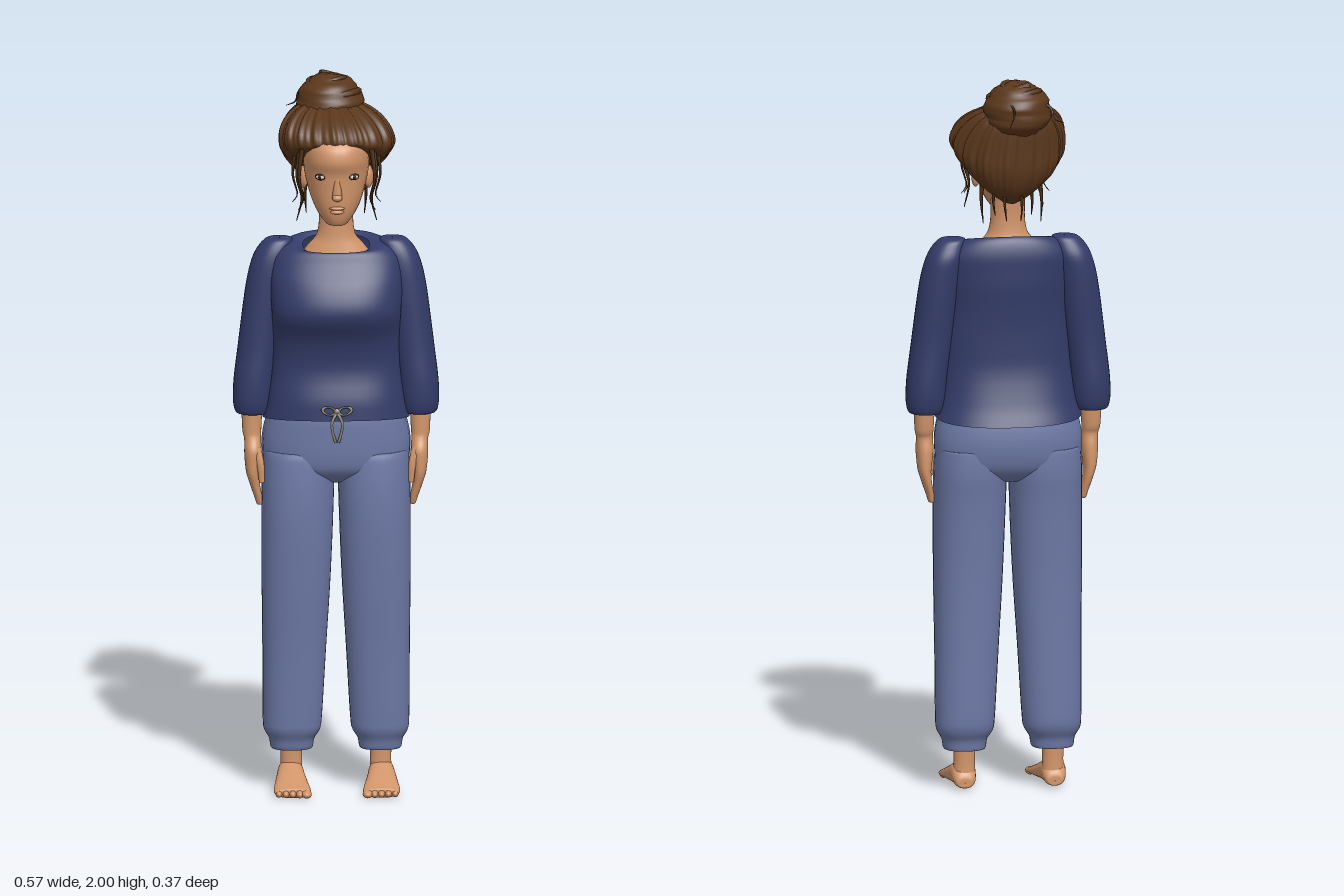
import * as THREE from 'three';

const mat = (name, color, side = THREE.FrontSide) => {
  const m = new THREE.MeshStandardMaterial({ color, side });
  m.name = name;
  return m;
};

// Closed-around surface: fn(angle, t) returns [x, y, z]; t runs upward, angle PI/2 is the front.
function wrap(nu, nv, fn) {
  const pos = [], idx = [];
  for (let j = 0; j <= nv; j++)
    for (let i = 0; i < nu; i++) pos.push(...fn((i / nu) * Math.PI * 2, j / nv));
  for (let j = 0; j < nv; j++)
    for (let i = 0; i < nu; i++) {
      const a = j * nu + i, b = j * nu + ((i + 1) % nu);
      idx.push(a, a + nu, b, b, a + nu, b + nu);
    }
  const g = new THREE.BufferGeometry();
  g.setAttribute('position', new THREE.Float32BufferAttribute(pos, 3));
  g.setIndex(idx);
  g.computeVertexNormals();
  return g;
}

// Smooth interpolation through rows of numbers without overshoot.
function blend(rows, t) {
  const n = rows.length - 1, f = Math.min(t * n, n - 1e-6), k = Math.floor(f), s = f - k;
  const slope = (i, c) => {
    if (i <= 0 || i >= n) return rows[Math.min(i + 1, n)][c] - rows[Math.max(i - 1, 0)][c];
    const a = rows[i][c] - rows[i - 1][c], b = rows[i + 1][c] - rows[i][c];
    return a * b <= 0 ? 0 : Math.sign(a) * Math.min(2 * Math.abs(a), 2 * Math.abs(b), Math.abs(a + b) / 2);
  };
  return rows[k].map((p, c) => {
    const q = rows[k + 1][c], m0 = slope(k, c), m1 = slope(k + 1, c), s2 = s * s, s3 = s2 * s;
    return p * (2 * s3 - 3 * s2 + 1) + m0 * (s3 - 2 * s2 + s) + q * (3 * s2 - 2 * s3) + m1 * (s3 - s2);
  });
}

// Body section rows, low to high: [y, centreX, halfWidth, zFront, zBack, tilt]
function loft(rows, { side = 1, power = 2.2, open = false, nu = 32 } = {}) {
  const full = rows.map((r) => [...r, 0].slice(0, 6));
  const pinch = ([y, cx, , f, b, t]) => [y, cx, 0.001, (f + b) / 2 + 0.001, (f + b) / 2 - 0.001, t];
  const list = open ? full : [pinch(full[0]), ...full, pinch(full[full.length - 1])];
  const e = (v) => Math.sign(v) * Math.abs(v) ** (2 / power);
  return wrap(nu, (list.length - 1) * 4, (a, t) => {
    const [y, cx, rx, f, b, tilt] = blend(list, t);
    const z = (f + b) / 2 + ((f - b) / 2) * e(Math.sin(a));
    return [cx * side + rx * e(Math.cos(a)), y + tilt * z, z];
  });
}

// Tapered strand along a smooth path.
function strand(points, radius, tip = 0.15) {
  const path = new THREE.CatmullRomCurve3(points.map((p) => new THREE.Vector3(...p)));
  const n = 14, g = new THREE.TubeGeometry(path, n, radius, 6), p = g.attributes.position;
  const v = new THREE.Vector3();
  for (let i = 0; i < p.count; i++) {
    const t = Math.floor(i / 7) / n;
    v.fromBufferAttribute(p, i).lerp(path.getPointAt(t), t * (1 - tip));
    p.setXYZ(i, v.x, v.y, v.z);
  }
  return g;
}

export function createModel() {
  const model = new THREE.Group();
  model.name = 'standingWoman';
  const skin = mat('skin', 0xd2956a), hair = mat('brown hair', 0x5a371b, THREE.DoubleSide);
  const loose = mat('dark strands', 0x43280f), shirt = mat('navy shirt', 0x333c69, THREE.DoubleSide);
  const cloth = mat('blue trousers', 0x6d79a6), cord = mat('grey cord', 0x97917f);
  const white = mat('eye white', 0xd8cfc4), dark = mat('dark eye', 0x2e1c12);
  const add = (name, geo, material, pos = [0, 0, 0], scale = [1, 1, 1]) => {
    const m = new THREE.Mesh(geo, material);
    m.name = name;
    m.position.set(...pos);
    m.scale.set(...scale);
    model.add(m);
    return m;
  };
  const ball = new THREE.SphereGeometry(1, 16, 10);

  // Head, neck and face
  add('head', loft([
    [1.608, 0, 0.022, 0.137, 0.07], [1.63, 0, 0.046, 0.152, 0.02], [1.67, 0, 0.068, 0.16, -0.03],
    [1.72, 0, 0.083, 0.163, -0.07], [1.755, 0, 0.09, 0.166, -0.09], [1.79, 0, 0.092, 0.177, -0.1],
    [1.82, 0, 0.092, 0.172, -0.1], [1.85, 0, 0.085, 0.145, -0.09], [1.89, 0, 0.05, 0.08, -0.06],
  ]), skin);
  add('neck', loft([
    [1.45, 0, 0.1, 0.08, -0.05], [1.5, 0, 0.096, 0.08, -0.045], [1.53, 0, 0.078, 0.075, -0.035],
    [1.56, 0, 0.054, 0.07, -0.025], [1.61, 0, 0.047, 0.068, -0.022], [1.68, 0, 0.047, 0.07, -0.03],
  ]), skin);
  add('nose', strand([[0, 1.695, 0.164], [0, 1.72, 0.161], [0, 1.755, 0.156]], 0.014, 0.5), skin);
  add('noseTip', ball, skin, [0, 1.694, 0.17], [0.014, 0.01, 0.012]);
  add('upperLip', ball, skin, [0, 1.662, 0.158], [0.022, 0.005, 0.008]);
  add('lowerLip', ball, skin, [0, 1.651, 0.155], [0.019, 0.006, 0.008]);
  for (const s of [1, -1]) {
    add('ear', ball, skin, [0.09 * s, 1.72, 0.015], [0.012, 0.032, 0.02]).rotation.y = -0.3 * s;
    const eye = [[dark, 'lashes', 0.153, 0.016, 0.009], [white, 'eyeWhite', 0.1545, 0.013, 0.006],
      [dark, 'iris', 0.156, 0.006, 0.006]];
    for (const [m, name, z, w, h] of eye)
      add(name, ball, m, [0.047 * s, 1.75, z], [w, h, 0.004]).rotation.y = 0.5 * s;
  }

  // Gathered hair: locks sweep from a puffed rim up to the bun
  add('sweptHair', wrap(220, 28, (a, t) => {
    const phi = -1.2 + t * 2.75, c = Math.cos(phi), s = Math.sin(phi);
    const front = Math.sin(a), up = Math.max(s, 0);
    const locks = 0.022 * Math.sin(17 * a + 1.3 * Math.sin(3 * a) + t)
      + 0.014 * Math.sin(43 * a + 2 * Math.sin(5 * a)) + 0.018 * Math.sin(5 * a + 1);
    const r = c ** 0.85 * (1 + locks * (1.2 - 0.7 * t));
    const mid = front > 0 ? 1.82 + 0.02 * front : 1.82 + 0.05 * front;
    const drop = front > 0 ? 0.08 - 0.055 * front ** 2 : 0.08 - 0.05 * front;
    const y = mid + (s > 0 ? (1.93 - mid) * s : drop * s) + 0.12 * locks * c;
    return [0.157 * r * Math.cos(a) - 0.015 * up, y, 0.015 - 0.07 * up * up + 0.14 * r * front];
  }), hair);

  // Bun with coiled locks
  add('bun', wrap(48, 32, (a, t) => {
    const p = (t - 0.5) * Math.PI;
    const r = 1 + 0.025 * Math.sin(9 * p + a) + 0.015 * Math.sin(21 * p - 2 * a);
    return [0.093 * r * Math.cos(p) * Math.cos(a), 0.083 * r * Math.sin(p), 0.097 * r * Math.cos(p) * Math.sin(a)];
  }), hair, [-0.015, 1.912, -0.057]);
  for (const [r, y, turn] of [[0.078, 1.945, 0], [0.06, 1.967, 2], [0.04, 1.982, 4], [0.088, 1.9, 1]]) {
    const pts = [];
    for (let i = 0; i <= 10; i++) {
      const a = turn + i * 0.5;
      pts.push([-0.015 + r * Math.cos(a), y + 0.006 * Math.sin(a * 2), -0.057 + r * Math.sin(a)]);
    }
    add('bunCoil', strand(pts, 0.011, 0.4), hair);
  }

  // Loose wisps around face, nape and bun
  for (const s of [1, -1]) {
    for (const [x, z, low, r] of [[0.096, 0.125, 1.65, 0.007], [0.1, 0.1, 1.615, 0.008], [0.112, 0.07, 1.66, 0.006]])
      add('sideWisp', strand([[x * s, 1.82, z - 0.01], [(x + 0.008) * s, 1.74, z + 0.008],
        [(x - 0.004) * s, 1.68, z], [(x + 0.01) * s, low, z - 0.005]], r), loose);
    for (const [x, z, low] of [[0.02, -0.075, 1.61], [0.05, -0.065, 1.625], [0.08, -0.04, 1.6]])
      add('napeWisp', strand([[x * s, 1.71, z], [(x + 0.004) * s, 1.66, z - 0.01], [x * s, low, z - 0.02]], 0.007), loose);
  }
  add('bunWisp', strand([[0.03, 1.95, -0.12], [0.01, 1.94, -0.145], [0.01, 1.92, -0.17], [0.025, 1.89, -0.187]], 0.005), loose);
  add('bunWisp', strand([[-0.08, 1.94, -0.1], [-0.1, 1.93, -0.11], [-0.11, 1.9, -0.125], [-0.135, 1.89, -0.123]], 0.005), loose);

  // Loose shirt with scooped neck and flared hem
  add('shirtBody', loft([
    [1.045, 0, 0.203, 0.152, -0.117, 0.1], [1.1, 0, 0.19, 0.148, -0.092, 0.05], [1.2, 0, 0.177, 0.126, -0.067],
    [1.28, 0, 0.175, 0.14, -0.066], [1.36, 0, 0.179, 0.179, -0.07], [1.43, 0, 0.182, 0.158, -0.075],
    [1.49, 0, 0.18, 0.12, -0.075], [1.53, 0, 0.155, 0.105, -0.066, -0.1], [1.545, 0, 0.12, 0.095, -0.05, -0.25],
    [1.538, 0, 0.092, 0.086, -0.035, -0.3],
  ], { open: true, power: 2.3, nu: 48 }), shirt);

  // Hips and waistband
  add('hips', loft([
    [0.865, 0, 0.06, 0.05, -0.03], [0.885, 0, 0.14, 0.1, -0.07], [0.92, 0, 0.2, 0.132, -0.095],
    [0.98, 0, 0.205, 0.138, -0.104], [1.04, 0, 0.195, 0.138, -0.098], [1.075, 0, 0.18, 0.13, -0.085],
  ], { power: 2.4 }), cloth);

  for (const side of [1, -1]) {
    // Sleeves, forearms and hands
    add('sleeve', loft([
      [1.058, 0.23, 0.04, 0.062, -0.03], [1.065, 0.231, 0.048, 0.07, -0.038], [1.1, 0.23, 0.054, 0.077, -0.046],
      [1.15, 0.227, 0.055, 0.078, -0.048], [1.25, 0.215, 0.055, 0.072, -0.046], [1.4, 0.196, 0.055, 0.068, -0.052],
      [1.48, 0.181, 0.053, 0.063, -0.054], [1.525, 0.166, 0.046, 0.052, -0.042], [1.547, 0.155, 0.03, 0.035, -0.025],
    ], { side }), shirt);
    add('hand', loft([
      [0.802, 0.211, 0.007, 0.045, 0.02], [0.825, 0.215, 0.011, 0.054, 0.012], [0.86, 0.224, 0.014, 0.064, 0.002],
      [0.9, 0.23, 0.019, 0.073, -0.002], [0.95, 0.229, 0.024, 0.074, 0], [0.985, 0.23, 0.023, 0.06, 0.006],
      [1.01, 0.232, 0.026, 0.055, -0.002], [1.1, 0.232, 0.03, 0.055, -0.01],
    ], { side }), skin);
    add('thumb', strand([[0.22 * side, 0.965, 0.055], [0.209 * side, 0.92, 0.068], [0.205 * side, 0.87, 0.07]], 0.013, 0.6), skin);

    // Trouser legs with gathered cuffs
    add('trouserLeg', loft([
      [0.112, 0.122, 0.056, 0.066, -0.04], [0.14, 0.122, 0.063, 0.074, -0.045], [0.17, 0.121, 0.079, 0.087, -0.06],
      [0.21, 0.12, 0.082, 0.091, -0.065], [0.4, 0.115, 0.088, 0.105, -0.066], [0.6, 0.11, 0.095, 0.124, -0.07],
      [0.8, 0.106, 0.099, 0.137, -0.082], [0.9, 0.104, 0.1, 0.134, -0.092], [0.96, 0.1, 0.098, 0.125, -0.09],
    ], { side, power: 2.4 }), cloth);

    // Ankles and bare feet
    add('ankle', loft([[0.03, 0.123, 0.032, 0.04, -0.022], [0.075, 0.123, 0.029, 0.035, -0.02],
      [0.13, 0.123, 0.03, 0.036, -0.022]], { side }), skin);
    add('foot', loft([
      [-0.028, 0.125, 0.018, -0.008, -0.032], [-0.015, 0.125, 0.03, -0.004, -0.055], [0.015, 0.125, 0.035, -0.004, -0.076],
      [0.05, 0.125, 0.039, -0.004, -0.066], [0.1, 0.124, 0.046, -0.002, -0.047], [0.14, 0.123, 0.051, -0.001, -0.032],
      [0.165, 0.121, 0.048, -0.001, -0.024],
    ], { side }).rotateX(Math.PI / 2), skin);
    for (let i = 0; i < 5; i++)
      add('toe', ball, skin, [(0.084 + 0.019 * i) * side, 0.011, 0.164 - 0.003 * i], [i ? 0.01 : 0.014, 0.011, 0.023]);

    // Drawstring bow loops and tails
    const loop = add('bowLoop', new THREE.TorusGeometry(0.018, 0.0045, 8, 24), cord, [0.022 * side, 1.09, 0.158], [1, 0.6, 1]);
    loop.rotation.z = 0.25 * side;
    add('bowTail', strand([[0, 1.088, 0.16], [0.014 * side, 1.06, 0.165], [0.012 * side, 1.03, 0.156],
      [0.004 * side, 1.0, 0.147]], 0.0045, 0.9), cord);
  }
  add('bowKnot', ball, cord, [0, 1.09, 0.16], [0.008, 0.008, 0.007]);
  return model;
}
